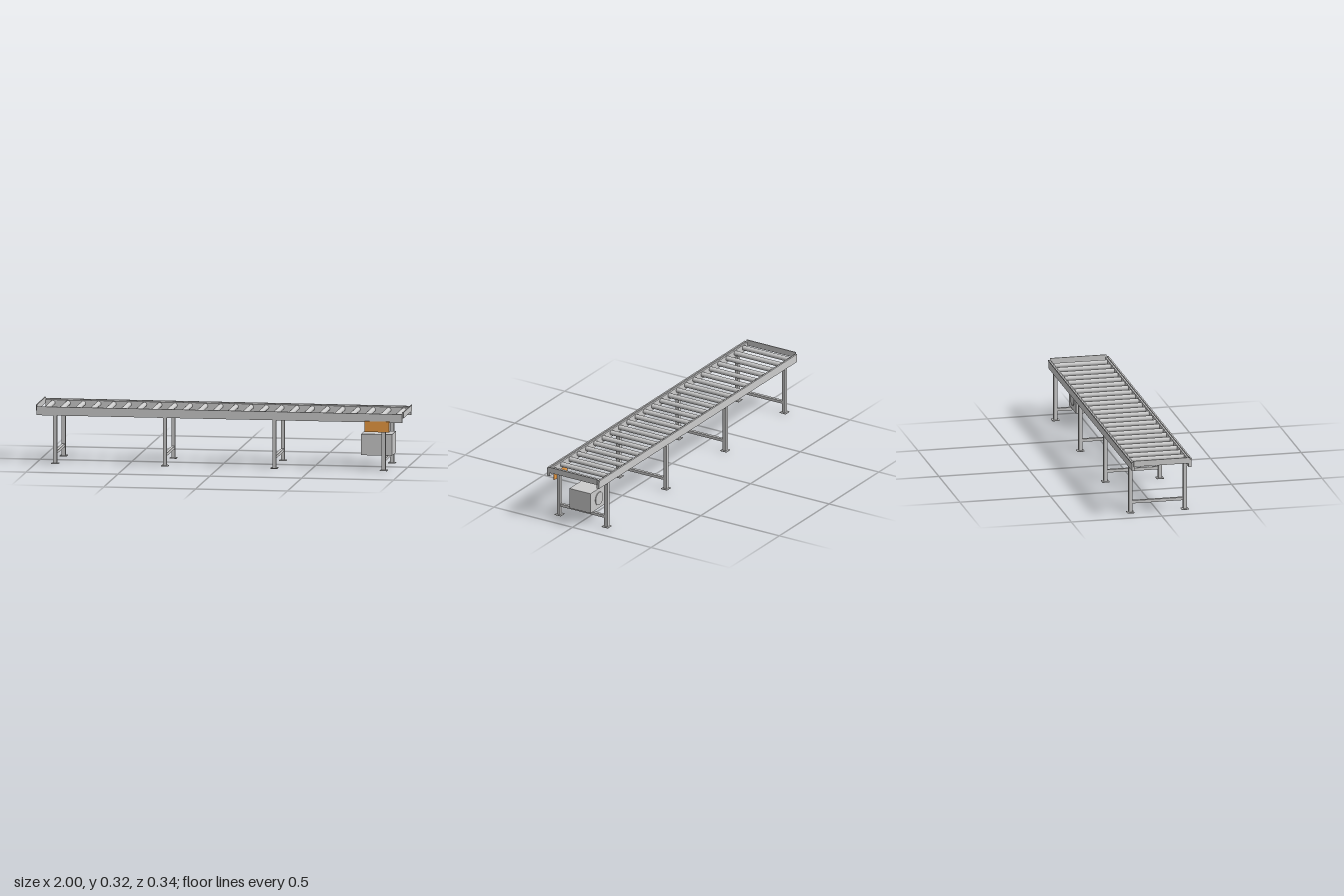
import * as THREE from 'three';

const grey = new THREE.MeshStandardMaterial({ color: 0xcccccc });
const orange = new THREE.MeshStandardMaterial({ color: 0xeb9a42 });

export function createModel() {
  const model = new THREE.Group();

  const add = (name, geometry, x, y, z, material = grey, parent = model) => {
    const mesh = new THREE.Mesh(geometry, material);
    mesh.name = name;
    mesh.position.set(x, y, z);
    parent.add(mesh);
    return mesh;
  };
  // Box given by its minimum and maximum corners
  const box = (name, [x0, y0, z0], [x1, y1, z1], material, parent) =>
    add(name, new THREE.BoxGeometry(x1 - x0, y1 - y0, z1 - z0),
      (x0 + x1) / 2, (y0 + y1) / 2, (z0 + z1) / 2, material, parent);

  // Side rails with a narrow lip along the top outer edge
  const railWeb = new THREE.BoxGeometry(1.99, 0.041, 0.016);
  const railLip = new THREE.BoxGeometry(1.99, 0.007, 0.009);
  for (const s of [1, -1]) {
    add('sideRail', railWeb, 0, 0.2835, s * 0.157);
    add('railLip', railLip, 0, 0.3065, s * 0.1625);
  }

  // End stop plates
  const endPlate = new THREE.BoxGeometry(0.006, 0.032, 0.311);
  for (const s of [1, -1]) add('endPlate', endPlate, s * 0.997, 0.302, 0);

  // Rollers
  const rollerGeometry = new THREE.CylinderGeometry(0.0135, 0.0135, 0.3, 24).rotateX(Math.PI / 2);
  const rollerCount = 24;
  for (let i = 0; i < rollerCount; i++) {
    add('roller', rollerGeometry, -0.955 + (1.91 * i) / (rollerCount - 1), 0.2875, 0);
  }

  // Leg frames: two legs, foot plates and a cross bar
  for (const x of [-0.895, -0.298, 0.298, 0.893]) {
    const frame = new THREE.Group();
    frame.name = 'legFrame';
    frame.position.x = x;
    model.add(frame);
    for (const s of [1, -1]) {
      add('leg', new THREE.BoxGeometry(0.02, 0.259, 0.02), 0, 0.1335, s * 0.15, grey, frame);
      add('footPlate', new THREE.BoxGeometry(0.039, 0.004, 0.039), 0, 0.002, s * 0.15, grey, frame);
    }
    box('crossBar', [-0.008, 0.052, -0.14], [0.008, 0.068, 0.14], grey, frame);
  }

  // Drive unit with a round cover on its back
  box('driveHousing', [0.757, 0.07, -0.067], [0.925, 0.185, 0.067]);
  add('driveCover', new THREE.CylinderGeometry(0.037, 0.037, 0.004, 32).rotateX(Math.PI / 2),
    0.841, 0.127, -0.069);

  // Coloured guard plate on the front
  box('guardPlate', [0.79, 0.211, 0.164], [0.925, 0.269, 0.17], orange);

  return model;
}
